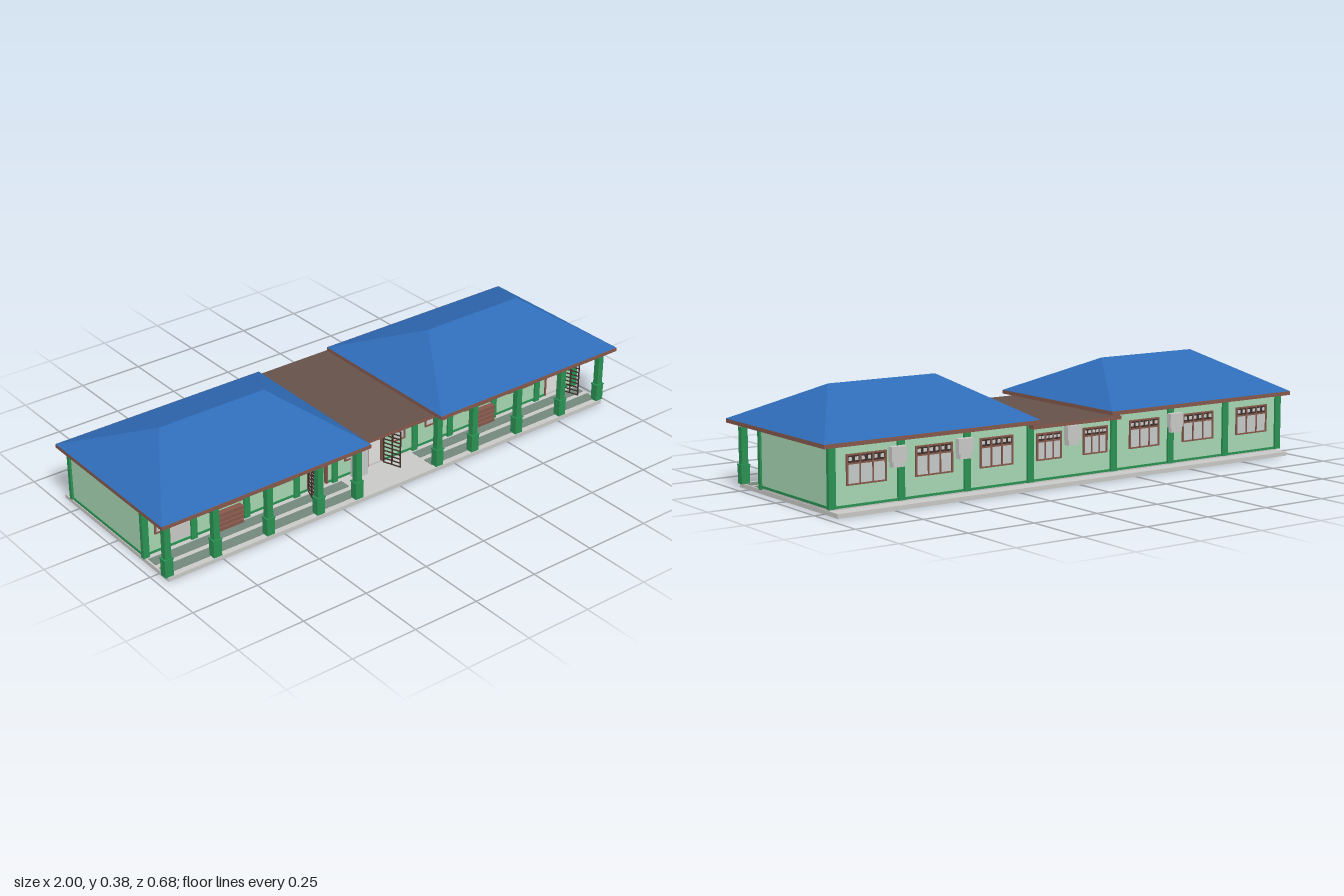
import * as THREE from 'three';

const mat = (name, color, double) => {
  const m = new THREE.MeshStandardMaterial({ color });
  m.name = name;
  if (double) m.side = THREE.DoubleSide;
  return m;
};

export function createModel() {
  const wallMint = mat('wall mint', 0xa6d6b2, true);
  const trimGreen = mat('trim green', 0x2a9152);
  const roofBlue = mat('roof blue', 0x2f6cb8, true);
  const fasciaBrown = mat('fascia brown', 0x86594b);
  const flatRoofBrown = mat('flat roof brown', 0x64514a);
  const concrete = mat('concrete grey', 0xc8c8c6);
  const glass = mat('pane grey', 0xc4cac8);
  const darkMetal = mat('dark metal', 0x40302c);
  const floorGreen = mat('porch floor grey green', 0x73877c);

  const model = new THREE.Group();
  model.name = 'building';

  // Box given by its min and max corners
  const box = (parent, name, m, x0, x1, y0, y1, z0, z1) => {
    const mesh = new THREE.Mesh(new THREE.BoxGeometry(x1 - x0, y1 - y0, z1 - z0), m);
    mesh.position.set((x0 + x1) / 2, (y0 + y1) / 2, (z0 + z1) / 2);
    mesh.name = name;
    parent.add(mesh);
    return mesh;
  };
  const group = (name, x = 0, y = 0, z = 0, ry = 0) => {
    const g = new THREE.Group();
    g.name = name;
    g.position.set(x, y, z);
    g.rotation.y = ry;
    model.add(g);
    return g;
  };

  const END = 0.965, INNER = 0.18, FRONT = 0.163, BACK = -0.29, FLOOR = 0.022;

  // Base slab, raised floor and porch paving strips
  box(model, 'baseSlab', concrete, -0.967, 0.967, 0.001, 0.016, -0.34, 0.31);
  box(model, 'raisedFloor', concrete, -END, END, 0.016, FLOOR, -0.285, 0.157);
  for (const s of [-1, 1])
    for (const z of [0.2, 0.265])
      box(model, 'porchPaving', floorGreen, s * 0.56 - 0.4, s * 0.56 + 0.4, 0, 0.0175, z - 0.022, z + 0.022);

  // Front walls with open doorways
  const doors = [
    { x: -0.255, w: 0.08, side: -1 },
    { x: 0, w: 0.07, side: 1 },
    { x: 0.855, w: 0.08, side: 1 },
  ];
  const DOOR_TOP = 0.185;
  const frontWall = (x0, x1, top) => {
    const s = new THREE.Shape();
    s.moveTo(x0, FLOOR);
    for (const d of doors.filter((d) => d.x > x0 && d.x < x1)) {
      s.lineTo(d.x - d.w / 2, FLOOR);
      s.lineTo(d.x - d.w / 2, DOOR_TOP);
      s.lineTo(d.x + d.w / 2, DOOR_TOP);
      s.lineTo(d.x + d.w / 2, FLOOR);
    }
    s.lineTo(x1, FLOOR);
    s.lineTo(x1, top);
    s.lineTo(x0, top);
    const mesh = new THREE.Mesh(new THREE.ExtrudeGeometry(s, { depth: 0.008, bevelEnabled: false }), wallMint);
    mesh.position.z = FRONT - 0.008;
    mesh.name = 'frontWall';
    model.add(mesh);
  };
  const sections = [[-END, -INNER, 0.23], [-INNER, INNER, 0.214], [INNER, END, 0.23]];
  for (const [x0, x1, top] of sections) {
    frontWall(x0, x1, top);
    box(model, 'backWall', wallMint, x0, x1, FLOOR, top, BACK, BACK + 0.008);
    box(model, 'backSkirting', trimGreen, x0, x1, FLOOR, 0.03, BACK - 0.003, BACK);
  }
  for (const s of [-1, 1]) {
    for (const x of [s * (END - 0.004), s * INNER])
      box(model, 'sideWall', wallMint, x - 0.004, x + 0.004, FLOOR, 0.23, BACK, FRONT);
    box(model, 'sideSkirting', trimGreen, s * 0.966 - 0.002, s * 0.966 + 0.002, FLOOR, 0.03, BACK, FRONT);
  }
  // Front skirting runs between the doorways
  const stops = [-END, ...doors.flatMap((d) => [d.x - d.w / 2, d.x + d.w / 2]), END];
  for (let i = 0; i < stops.length; i += 2)
    box(model, 'frontSkirting', trimGreen, stops[i], stops[i + 1], FLOOR, 0.03, FRONT, FRONT + 0.003);

  // Pilasters on the walls and free porch columns
  for (const s of [-1, 1]) {
    for (const x of [0.18, 0.44, 0.7, 0.96])
      box(model, 'backPilaster', trimGreen, s * x - 0.013, s * x + 0.013, FLOOR, 0.225, -0.298, -0.283);
    for (const x of [0.18, 0.345, 0.555, 0.77, 0.96]) {
      const c = s * x;
      box(model, 'frontPilaster', trimGreen, c - 0.012, c + 0.012, 0.016, 0.225, 0.155, 0.17);
      box(model, 'columnBase', trimGreen, c - 0.016, c + 0.016, 0.016, 0.079, 0.279, 0.307);
      box(model, 'columnCollar', trimGreen, c - 0.018, c + 0.018, 0.079, 0.083, 0.277, 0.309);
      box(model, 'columnShaft', trimGreen, c - 0.012, c + 0.012, 0.083, 0.212, 0.282, 0.304);
      box(model, 'columnHead', wallMint, c - 0.012, c + 0.012, 0.212, 0.236, 0.282, 0.304);
    }
  }

  // Windows: panes below, grilled transom above, brown frame
  const windowUnit = (x, w, y0, y1, back) => {
    const g = group('window', x, 0, back ? BACK : FRONT, back ? Math.PI : 0);
    const h = w / 2, t = 0.005, n = w > 0.09 ? 3 : w > 0.07 ? 2 : 1;
    const sill = y1 - (y1 - y0) * 0.3;
    box(g, 'panes', glass, -h, h, y0, sill, 0, 0.002);
    box(g, 'transom', darkMetal, -h, h, sill, y1, 0, 0.002);
    for (let i = 0; i < n * 2; i++) {
      const c = -h + (w * (i + 0.5)) / (n * 2);
      box(g, 'transomPane', glass, c - 0.006, c + 0.006, sill + 0.009, y1 - 0.008, 0.002, 0.003);
    }
    for (let i = 0; i <= n; i++) {
      const c = -h + (w * i) / n, r = i % n ? t * 0.4 : t * 0.6;
      box(g, 'frameUpright', fasciaBrown, c - r, c + r, y0, y1, 0, 0.006);
    }
    for (const y of [y0, sill, y1])
      box(g, 'frameRail', fasciaBrown, -h - 0.003, h + 0.003, y - t / 2, y + t / 2, 0, 0.006);
  };
  for (const [x, w] of [[-0.852, 0.135], [-0.637, 0.14], [-0.425, 0.115], [0.287, 0.115], [0.487, 0.14], [0.687, 0.115]])
    windowUnit(x, w, 0.095, 0.192, false);
  for (const x of [-0.108, 0.105]) windowUnit(x, 0.052, 0.085, 0.188, false);
  for (const s of [-1, 1])
    for (const [x, w] of [[0.1, 0.1], [0.32, 0.13], [0.57, 0.14], [0.83, 0.145]])
      windowUnit(s * x, w, 0.095, s && x < 0.2 ? 0.185 : 0.192, true);

  // Door frames and open barred gates
  for (const d of doors) {
    const h = d.w / 2;
    for (const x of [-h, h])
      box(model, 'doorJamb', fasciaBrown, d.x + x - 0.003, d.x + x + 0.003, FLOOR, DOOR_TOP, 0.153, 0.168);
    for (const y of [0.165, DOOR_TOP])
      box(model, 'doorRail', fasciaBrown, d.x - h, d.x + h, y - 0.003, y + 0.003, 0.153, 0.168);
    const gate = group('barredGate', d.x + d.side * h, 0, 0.168, -Math.PI / 2 + d.side * 0.35);
    for (const x of [0.002, 0.036, 0.07])
      box(gate, 'gateUpright', darkMetal, x - 0.002, x + 0.002, 0.018, 0.163, -0.002, 0.002);
    for (let i = 0; i < 10; i++) {
      const y = 0.02 + i * 0.0158;
      box(gate, 'gateBar', darkMetal, 0, 0.072, y - 0.0018, y + 0.0018, -0.0018, 0.0018);
    }
  }

  // Slatted racks, cabinet and wash trough against the front wall
  for (const x of [-0.637, 0.487]) {
    box(model, 'rackBack', darkMetal, x - 0.05, x + 0.05, 0.018, 0.086, 0.168, 0.174);
    for (let i = 0; i < 4; i++)
      box(model, 'rackShelf', fasciaBrown, x - 0.053, x + 0.053, 0.02 + i * 0.018, 0.033 + i * 0.018, 0.168, 0.191);
  }
  box(model, 'cabinet', glass, -0.113, -0.056, 0.016, 0.15, 0.17, 0.195);
  box(model, 'washTrough', concrete, -0.9, -0.8, 0.055, 0.11, 0.166, 0.19);

  // Air conditioners on the back wall
  for (const x of [0.72, 0.46, 0.01, -0.45]) {
    box(model, 'airConditioner', concrete, x - 0.03, x + 0.03, 0.155, 0.205, -0.319, -0.298);
    box(model, 'airConditionerBracket', concrete, x - 0.022, x + 0.022, 0.136, 0.155, -0.315, -0.29);
  }

  // Flat roof over the middle section
  const f = fasciaBrown;
  box(model, 'flatRoof', [f, f, flatRoofBrown, f, f, f], -0.19, 0.19, 0.209, 0.222, -0.325, 0.29);

  // Hipped roofs, open underneath, with a fascia ring
  const hipRoof = (s) => {
    const xa = 0.155, xb = 1, z0 = -0.318, z1 = 0.338, y = 0.238, top = 0.378;
    const cx = s * (xa + xb) / 2, h = (xb - xa) / 2, r = 0.2125;
    const A = [cx - h, y, z1], B = [cx + h, y, z1], C = [cx + h, y, z0], D = [cx - h, y, z0];
    const P = [cx - r, top, 0.01], Q = [cx + r, top, 0.01];
    const faces = [A, B, Q, A, Q, P, B, C, Q, C, D, P, C, P, Q, D, A, P];
    const geo = new THREE.BufferGeometry();
    geo.setAttribute('position', new THREE.Float32BufferAttribute(faces.flat(), 3));
    geo.computeVertexNormals();
    const roof = new THREE.Mesh(geo, roofBlue);
    roof.name = 'hipRoof';
    model.add(roof);
    const x0 = cx - h, x1 = cx + h, t = 0.006;
    for (const [a, b] of [[z0 - 0.001, z0 + t], [z1 - t, z1 + 0.001]])
      box(model, 'longFascia', fasciaBrown, x0, x1, 0.224, y, a, b);
    for (const [a, b] of [[x0, x0 + t], [x1 - t, x1]])
      box(model, 'endFascia', fasciaBrown, a, b, 0.224, y, z0, z1);
  };
  hipRoof(-1);
  hipRoof(1);

  return model;
}
